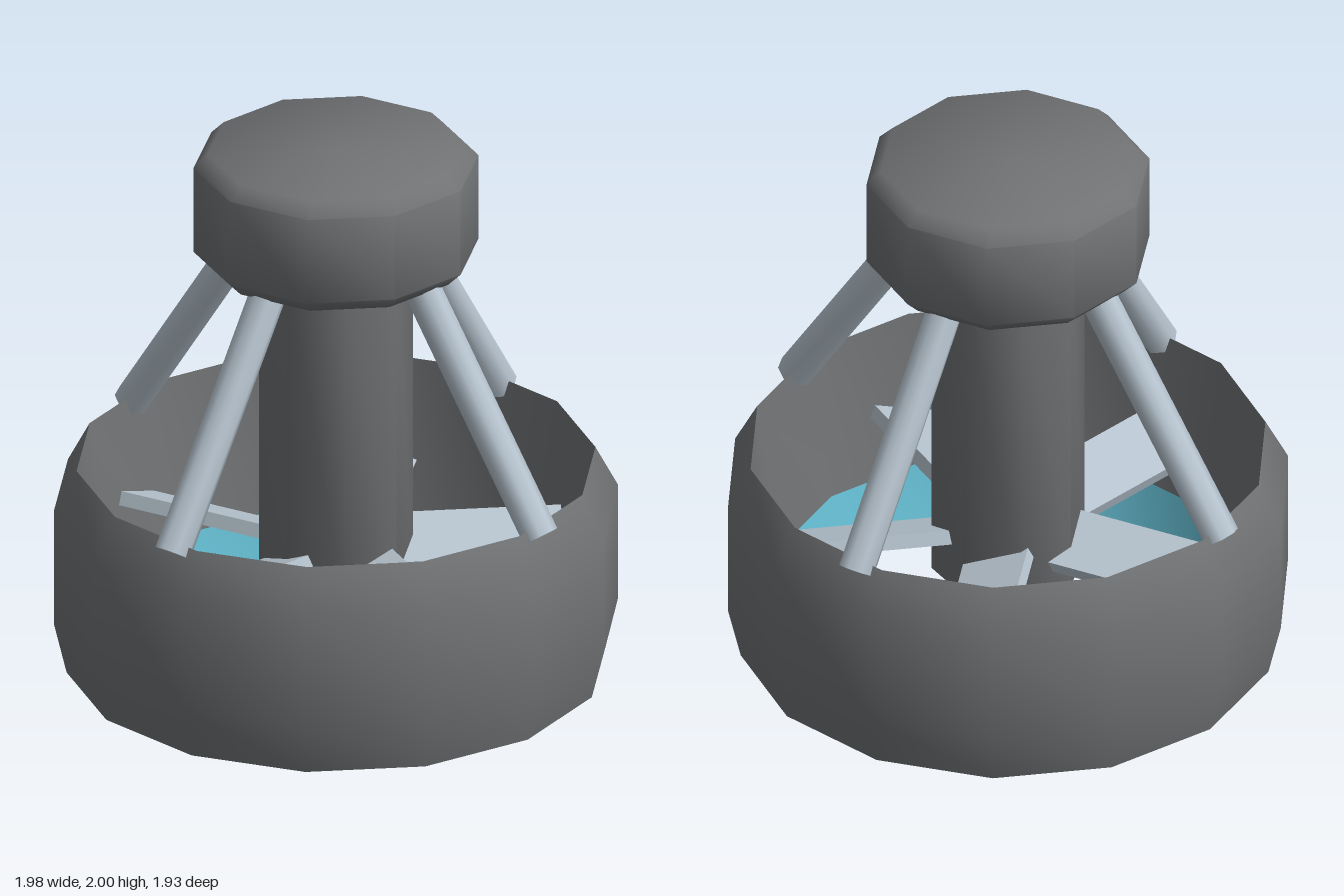
import * as THREE from 'three';
import { toCreasedNormals } from 'three/addons/utils/BufferGeometryUtils.js';

const material = (name, color) => {
  const m = new THREE.MeshStandardMaterial({ color });
  m.name = name;
  return m;
};

export function createModel() {
  const grey = material('grey metal', 0x707274);
  const steel = material('light steel', 0xb6c3ce);
  const cyan = material('cyan glow', 0x60b4c8);
  const dark = material('dark metal', 0x2c3234);

  const model = new THREE.Group();
  model.name = 'ductedThruster';

  const add = (name, geometry, mat, parent = model) => {
    const mesh = new THREE.Mesh(geometry, mat);
    mesh.name = name;
    parent.add(mesh);
    return mesh;
  };

  // Faceted turned part with a corner on the x axis; profile is [radius, y]
  const turned = (name, profile, sides, mat) => {
    const points = profile.map(([r, y]) => new THREE.Vector2(r, y));
    const lathe = new THREE.LatheGeometry(points, sides, Math.PI / 2);
    return add(name, toCreasedNormals(lathe, 0.85), mat);
  };

  // Outer duct, thin at the top rim, with a cyan ring around the lower opening
  turned('duct', [
    [0.83, 0], [0.945, 0.04], [0.99, 0.23], [0.99, 0.66], [0.91, 0.81], [0.825, 0.24],
  ], 14, grey);
  turned('ductLiner', [[0.825, 0.24], [0.735, 0.05], [0.83, 0]], 14, cyan);

  // Central column narrowing to a waist, and the flared plug below it
  turned('column', [[0.15, 0.2], [0.27, 0.33], [0.27, 1.62]], 8, grey);
  turned('plug', [[0, 0.06], [0.27, 0.06], [0.15, 0.2]], 8, dark);

  // Chamfered ten-sided cap
  turned('cap', [
    [0, 1.58], [0.45, 1.58], [0.5, 1.63], [0.5, 1.95], [0.45, 2], [0, 2],
  ], 10, grey);

  // Four slanted struts from the cap to the duct rim
  const top = new THREE.Vector3(0.24, 1.64, 0.24);
  const foot = new THREE.Vector3(0.645, 0.775, 0.645);
  const strutGeometry = toCreasedNormals(
    new THREE.CylinderGeometry(0.065, 0.065, top.distanceTo(foot), 8), 0.85);
  const direction = top.clone().sub(foot).normalize();
  for (let i = 0; i < 4; i++) {
    const pivot = new THREE.Group();
    pivot.name = 'strut' + (i + 1);
    pivot.rotation.y = (i * Math.PI) / 2;
    const strut = add('strutTube', strutGeometry, steel, pivot);
    strut.position.copy(top).add(foot).multiplyScalar(0.5);
    strut.quaternion.setFromUnitVectors(new THREE.Vector3(0, 1, 0), direction);
    model.add(pivot);
  }

  // Five pitched fan blades
  const bladeGeometry = new THREE.BoxGeometry(0.65, 0.05, 0.245);
  for (let i = 0; i < 5; i++) {
    const pivot = new THREE.Group();
    pivot.name = 'blade' + (i + 1);
    pivot.rotation.y = (i * Math.PI * 2) / 5;
    const blade = add('bladePlate', bladeGeometry, steel, pivot);
    blade.position.set(0.475, 0.48, 0);
    blade.rotation.x = 0.37;
    model.add(pivot);
  }

  return model;
}
